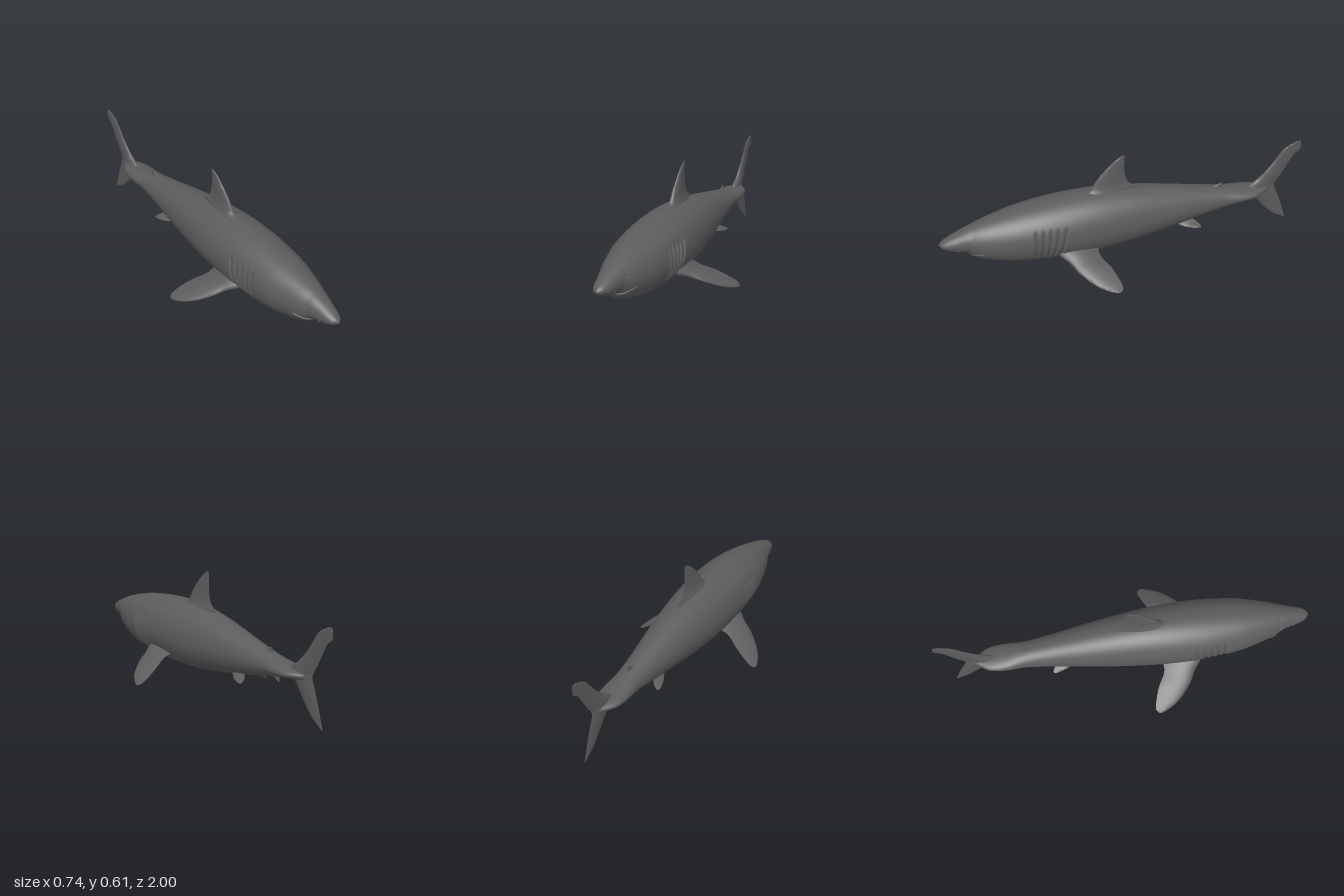
import * as THREE from 'three';
import { toCreasedNormals } from 'three/addons/utils/BufferGeometryUtils.js';

const skin = new THREE.MeshStandardMaterial({ color: 0x5c5c5c });
skin.name = 'slate grey skin';

// Smooth interpolation through table rows whose first column is an increasing key
function sample(rows, key) {
  let i = 0;
  while (i < rows.length - 2 && key > rows[i + 1][0]) i++;
  const a = rows[i], b = rows[i + 1], h = b[0] - a[0];
  const p = rows[Math.max(i - 1, 0)], q = rows[Math.min(i + 2, rows.length - 1)];
  const t = THREE.MathUtils.clamp((key - a[0]) / h, 0, 1), t2 = t * t, t3 = t2 * t;
  return a.map((v, c) => {
    const ma = (b[c] - p[c]) / (b[0] - p[0]), mb = (q[c] - v) / (q[0] - a[0]);
    return (2 * t3 - 3 * t2 + 1) * v + (t3 - 2 * t2 + t) * h * ma +
      (3 * t2 - 2 * t3) * b[c] + (t3 - t2) * h * mb;
  });
}

// Skin closed cross-sections, cap both ends and make the faces point outward
function loft(rings) {
  const n = rings[0].length, pts = rings.flat(), tris = [];
  for (let r = 0; r < rings.length - 1; r++) {
    for (let k = 0; k < n; k++) {
      const a = r * n + k, b = r * n + (k + 1) % n;
      tris.push([a, b, a + n], [b, b + n, a + n]);
    }
  }
  const last = (rings.length - 1) * n;
  for (let k = 1; k < n - 1; k++) tris.push([0, k + 1, k], [last, last + k, last + k + 1]);
  let volume = 0;
  const cross = new THREE.Vector3();
  for (const [a, b, c] of tris) volume += pts[a].dot(cross.crossVectors(pts[b], pts[c]));
  const geo = new THREE.BufferGeometry().setFromPoints(pts);
  geo.setIndex(tris.flatMap(([a, b, c]) => (volume < 0 ? [a, c, b] : [a, b, c])));
  geo.computeVertexNormals();
  return geo;
}

// Body stations: z, top y, bottom y, half width
const stations = [
  [-0.86, 0.238, 0.228, 0.003], [-0.82, 0.245, 0.217, 0.012], [-0.79, 0.25, 0.212, 0.034],
  [-0.76, 0.254, 0.208, 0.055], [-0.72, 0.26, 0.203, 0.069], [-0.65, 0.27, 0.192, 0.075],
  [-0.55, 0.29, 0.17, 0.071], [-0.4, 0.322, 0.14, 0.086], [-0.2, 0.365, 0.105, 0.115],
  [0, 0.4, 0.075, 0.14], [0.2, 0.416, 0.063, 0.158], [0.4, 0.41, 0.069, 0.161],
  [0.6, 0.386, 0.085, 0.143], [0.7, 0.365, 0.105, 0.12], [0.79, 0.342, 0.132, 0.094],
  [0.835, 0.328, 0.158, 0.075], [0.855, 0.321, 0.184, 0.068], [0.9, 0.304, 0.193, 0.055],
  [0.95, 0.282, 0.208, 0.042], [0.985, 0.264, 0.226, 0.025], [1, 0.25, 0.24, 0.004],
];

// x of the flank at a given height and station
function flankX(y, z) {
  const [, top, bottom, w] = sample(stations, z);
  const v = (y - (top + bottom) / 2) / ((top - bottom) / 2);
  return w * Math.sqrt(Math.max(0, 1 - v * v));
}

// Groove strength of the five gill slits
function gill(y, z) {
  const mask = THREE.MathUtils.smoothstep(y, 0.135, 0.165) *
    (1 - THREE.MathUtils.smoothstep(y, 0.295, 0.325));
  let g = 0;
  [0.515, 0.48, 0.445, 0.41, 0.37].forEach((slit, i) => {
    const d = z - (slit - (y - 0.23) * 0.05 * i);
    g += d < 0 ? Math.exp(-((d / 0.004) ** 2)) : Math.exp(-((d / 0.01) ** 2));
  });
  return g * mask;
}

function bodyGeometry() {
  const rings = [], sides = 80;
  for (let z = -0.86; z < 1; z += z > 0.96 ? 0.004 : z > 0.8 ? 0.008 : z > 0.31 && z < 0.55 ? 0.003 : 0.02) {
    const [, top, bottom, w] = sample(stations, z);
    const ring = [];
    for (let k = 0; k < sides; k++) {
      const a = (k / sides) * Math.PI * 2;
      const y = (top + bottom) / 2 + Math.sin(a) * (top - bottom) / 2;
      ring.push(new THREE.Vector3(Math.cos(a) * w * (1 - 0.07 * gill(y, z)), y, z));
    }
    rings.push(ring);
  }
  rings.push(rings[0].map((_, k) => {
    const a = (k / sides) * Math.PI * 2;
    return new THREE.Vector3(Math.cos(a) * 0.004, 0.245 + Math.sin(a) * 0.005, 1);
  }));
  return loft(rings);
}

// Fin rows: x, y, leading z, trailing z, half thickness; (nx, ny) is the thickness direction
function finGeometry(rows, nx, ny, steps = 5) {
  const table = rows.map((r, i) => [i, ...r]), rings = [], m = 12;
  for (let s = 0; s <= (rows.length - 1) * steps; s++) {
    const [, x, y, lead, trail, half] = sample(table, s / steps);
    const ring = [];
    for (let k = 0; k < 2 * m; k++) {
      const a = (k / m) * Math.PI, u = (1 - Math.cos(a)) / 2;
      const t = Math.sign(Math.sin(a)) * half * 2.6 * Math.sqrt(u) * (1 - u);
      ring.push(new THREE.Vector3(x + nx * t, y + ny * t, lead + (trail - lead) * u));
    }
    rings.push(ring);
  }
  return toCreasedNormals(loft(rings), 0.9);
}

export function createModel() {
  const model = new THREE.Group();
  model.name = 'shark';
  const add = (name, geo) => {
    const mesh = new THREE.Mesh(geo, skin);
    mesh.name = name;
    model.add(mesh);
    return mesh;
  };

  add('body', bodyGeometry());

  // Fins on the centre line
  add('dorsalFin', finGeometry([
    [0, 0.37, 0.26, -0.06, 0.04], [0, 0.405, 0.23, -0.056, 0.032], [0, 0.425, 0.193, -0.028, 0.024],
    [0, 0.45, 0.174, -0.009, 0.018], [0, 0.5, 0.14, 0.004, 0.012], [0, 0.57, 0.072, 0.005, 0.006],
    [0, 0.595, 0.038, 0.002, 0.003], [0, 0.606, 0.018, 0.005, 0.002],
  ], 1, 0));
  add('tailFin', finGeometry([
    [0, 0.001, -0.938, -0.947, 0.002], [0, 0.045, -0.865, -0.932, 0.005], [0, 0.12, -0.795, -0.907, 0.008],
    [0, 0.19, -0.742, -0.88, 0.014], [0, 0.235, -0.7, -0.863, 0.019], [0, 0.262, -0.705, -0.87, 0.018],
    [0, 0.3, -0.762, -0.895, 0.013], [0, 0.36, -0.82, -0.928, 0.009], [0, 0.42, -0.865, -0.962, 0.006],
    [0, 0.45, -0.886, -0.997, 0.005], [0, 0.48, -0.918, -1, 0.004], [0, 0.505, -0.97, -0.998, 0.002],
  ], 1, 0));
  add('secondDorsalFin', finGeometry([
    [0, 0.27, -0.47, -0.56, 0.008], [0, 0.298, -0.5, -0.552, 0.005], [0, 0.318, -0.54, -0.552, 0.002],
  ], 1, 0));
  add('analFin', finGeometry([
    [0, 0.2, -0.53, -0.61, 0.008], [0, 0.173, -0.565, -0.612, 0.005], [0, 0.154, -0.597, -0.612, 0.002],
  ], 1, 0));

  for (const s of [1, -1]) {
    const side = s > 0 ? 'left' : 'right';
    // Swept paired fins
    add(side + 'PectoralFin', finGeometry([
      [s * 0.1, 0.145, 0.42, 0.18, 0.034], [s * 0.145, 0.13, 0.388, 0.19, 0.025],
      [s * 0.185, 0.112, 0.355, 0.182, 0.019], [s * 0.245, 0.083, 0.32, 0.147, 0.015],
      [s * 0.315, 0.044, 0.255, 0.122, 0.01], [s * 0.35, 0.023, 0.2, 0.117, 0.006],
      [s * 0.368, 0.012, 0.155, 0.132, 0.003],
    ], s * 0.45, 0.89));
    add(side + 'PelvicFin', finGeometry([
      [s * 0.03, 0.15, -0.25, -0.36, 0.01], [s * 0.05, 0.128, -0.285, -0.39, 0.007],
      [s * 0.075, 0.114, -0.335, -0.407, 0.005], [s * 0.087, 0.108, -0.38, -0.406, 0.002],
    ], s * 0.5, 0.86));

    // Eyes and nostrils
    const eye = add(side + 'Eye', new THREE.SphereGeometry(0.009, 16, 12));
    eye.position.set(s * (flankX(0.262, 0.83) - 0.003), 0.262, 0.83);
    eye.scale.set(0.7, 1, 1);
    const nostril = add(side + 'Nostril', new THREE.TorusGeometry(0.006, 0.002, 8, 16));
    nostril.position.set(s * flankX(0.226, 0.915), 0.226, 0.915);
    nostril.rotation.y = s * 1.1;
  }

  // Curved mouth with a row of small teeth
  const lip = (t, dy = 0) => {
    const z = 0.85 - 0.07 * t * t, y = 0.184 + 0.022 * t * t;
    return new THREE.Vector3(Math.sign(t) * flankX(y, z), y + dy, z);
  };
  const path = [];
  for (let i = -8; i <= 8; i++) path.push(lip(i / 8));
  const curve = new THREE.CatmullRomCurve3(path);
  add('mouth', new THREE.TubeGeometry(curve, 48, 0.0045, 8));
  const toothGeo = new THREE.ConeGeometry(0.004, 0.012, 6);
  for (let i = 0; i < 13; i++) {
    const tooth = add('tooth', toothGeo);
    tooth.position.copy(curve.getPointAt(0.2 + 0.6 * i / 12));
    tooth.position.y -= 0.006;
    tooth.rotation.x = Math.PI;
  }
  return model;
}
